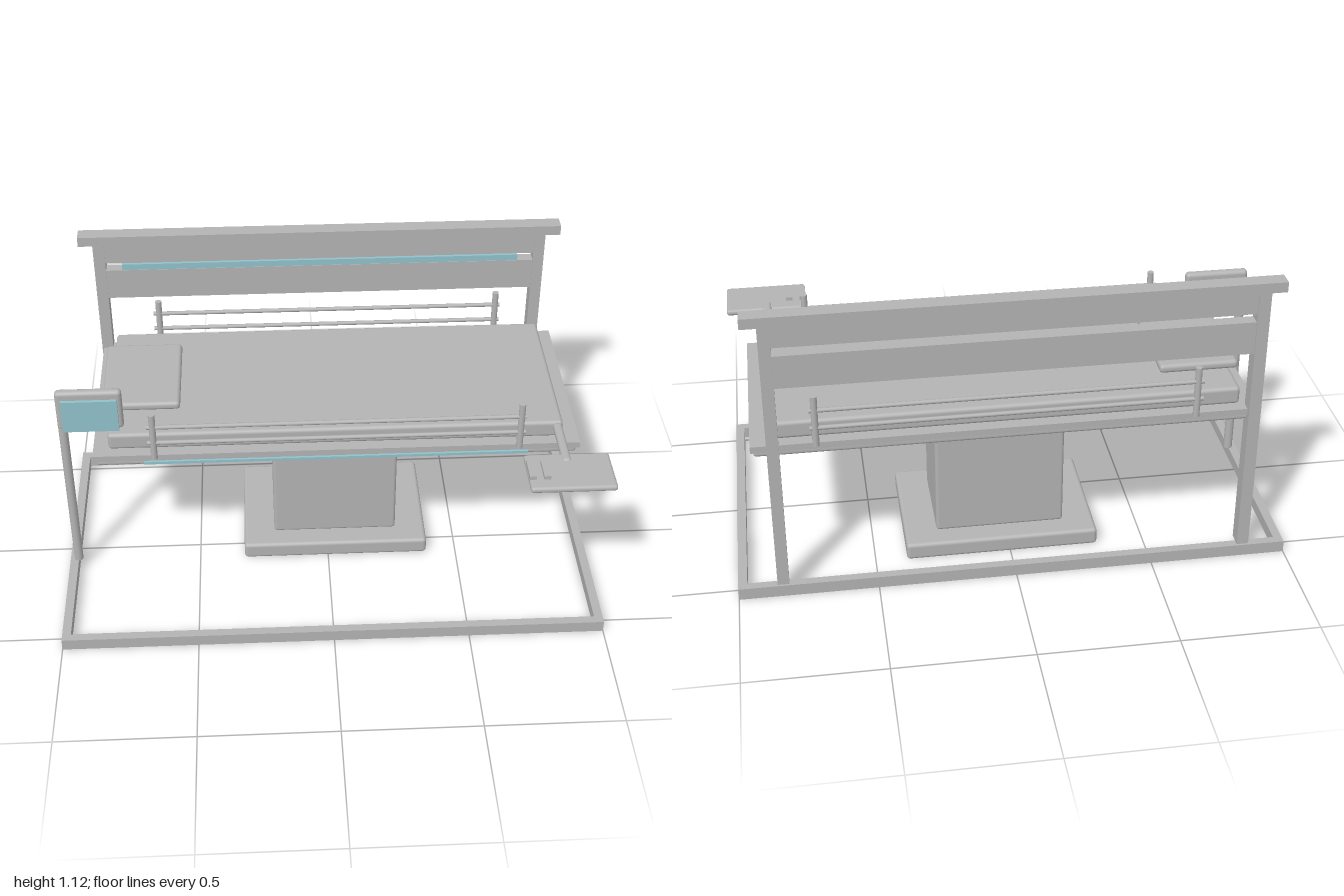
import * as THREE from 'three';
import { RoundedBoxGeometry } from 'three/addons/geometries/RoundedBoxGeometry.js';

export function createModel() {
  const model = new THREE.Group();
  model.name = 'treatmentTable';
  const grey = new THREE.MeshStandardMaterial({ color: 0xb3b3b3 });
  grey.name = 'grey';
  const cyan = new THREE.MeshStandardMaterial({ color: 0x90c1cb });
  cyan.name = 'paleCyan';

  const add = (name, geometry, material, x, y, z, parent = model) => {
    const mesh = new THREE.Mesh(geometry, material);
    mesh.name = name;
    mesh.position.set(x, y, z);
    parent.add(mesh);
    return mesh;
  };
  // Box from its limits; a radius rounds its edges
  const box = (name, [x0, x1], [y0, y1], [z0, z1], radius = 0, material = grey) => {
    const size = [x1 - x0, y1 - y0, z1 - z0];
    const geometry = radius
      ? new RoundedBoxGeometry(...size, 3, radius)
      : new THREE.BoxGeometry(...size);
    return add(name, geometry, material, (x0 + x1) / 2, (y0 + y1) / 2, (z0 + z1) / 2);
  };

  // Floor frame
  const T = 0.032;
  for (const s of [-1, 1]) {
    const edge = s * 0.555, inner = s * (0.555 - T);
    box('floorFrameLong', [-1, 1], [0, 0.045], [Math.min(edge, inner), Math.max(edge, inner)]);
    const sx = s * (1 - T / 2);
    box('floorFrameShort', [sx - T / 2, sx + T / 2], [0, 0.045], [-0.555 + T, 0.555 - T]);
  }

  // Back wall: posts, cap beam, two panels with a slot and a light strip
  box('backPostRight', [-0.866, -0.823], [0.045, 1.085], [-0.547, -0.492]);
  box('backPostLeft', [0.819, 0.861], [0.045, 1.085], [-0.547, -0.492]);
  box('capBeam', [-0.92, 0.917], [1.085, 1.123], [-0.548, -0.49]);
  box('lowerBackPanel', [-0.823, 0.819], [0.85, 0.973], [-0.54, -0.495]);
  box('upperBackPanel', [-0.823, 0.819], [1.005, 1.085], [-0.54, -0.495]);
  box('lightStrip', [-0.76, 0.757], [0.981, 1.005], [-0.498, -0.484], 0, cyan);

  // Pedestal
  box('pedestalBase', [-0.326, 0.385], [0, 0.066], [-0.41, 0.088], 0.014);
  box('pedestalColumn', [-0.208, 0.267], [0.066, 0.572], [-0.332, 0.01], 0.012);

  // Table top
  box('tableUnderplate', [-0.85, 0.907], [0.57, 0.596], [-0.517, 0.197], 0.011);
  box('tablePlate', [-0.86, 0.917], [0.594, 0.619], [-0.527, 0.204]);
  box('edgeLight', [-0.676, 0.725], [0.584, 0.594], [0.2, 0.213], 0, cyan);
  box('mattress', [-0.804, 0.856], [0.619, 0.686], [-0.49, 0.166], 0.014);
  box('pillow', [-0.83, -0.543], [0.688, 0.721], [-0.362, 0.028], 0.014);

  // Side rails
  const railPost = new THREE.CylinderGeometry(0.012, 0.012, 0.195, 16);
  const railBar = new THREE.CylinderGeometry(0.008, 0.008, 1.368, 12).rotateZ(Math.PI / 2);
  for (const z of [0.209, -0.53]) {
    const rail = new THREE.Group();
    rail.name = z > 0 ? 'frontRail' : 'backRail';
    for (const x of [-0.636, 0.692]) add('railPost', railPost, grey, x, 0.7075, z, rail);
    for (const y of [0.68, 0.749]) add('railBar', railBar, grey, 0.026, y, z, rail);
    model.add(rail);
  }

  // Display on a pole
  add('displayPole', new THREE.CylinderGeometry(0.017, 0.017, 0.66, 20), grey, -0.968, 0.375, 0.104);
  box('displayHousing', [-0.985, -0.745], [0.68, 0.846], [0.087, 0.122], 0.015);
  box('displayScreen', [-0.963, -0.76], [0.688, 0.82], [0.131, 0.143], 0, cyan);

  // Control tray on an arm
  box('trayArm', [0.815, 0.848], [0.663, 0.692], [0.172, 0.395], 0.013);
  box('tray', [0.682, 0.987], [0.662, 0.686], [0.347, 0.542], 0.011);
  for (const x of [0.695, 0.746]) {
    box('trayKey', [x - 0.012, x + 0.012], [0.684, 0.7], [0.4, 0.492]);
  }
  return model;
}
